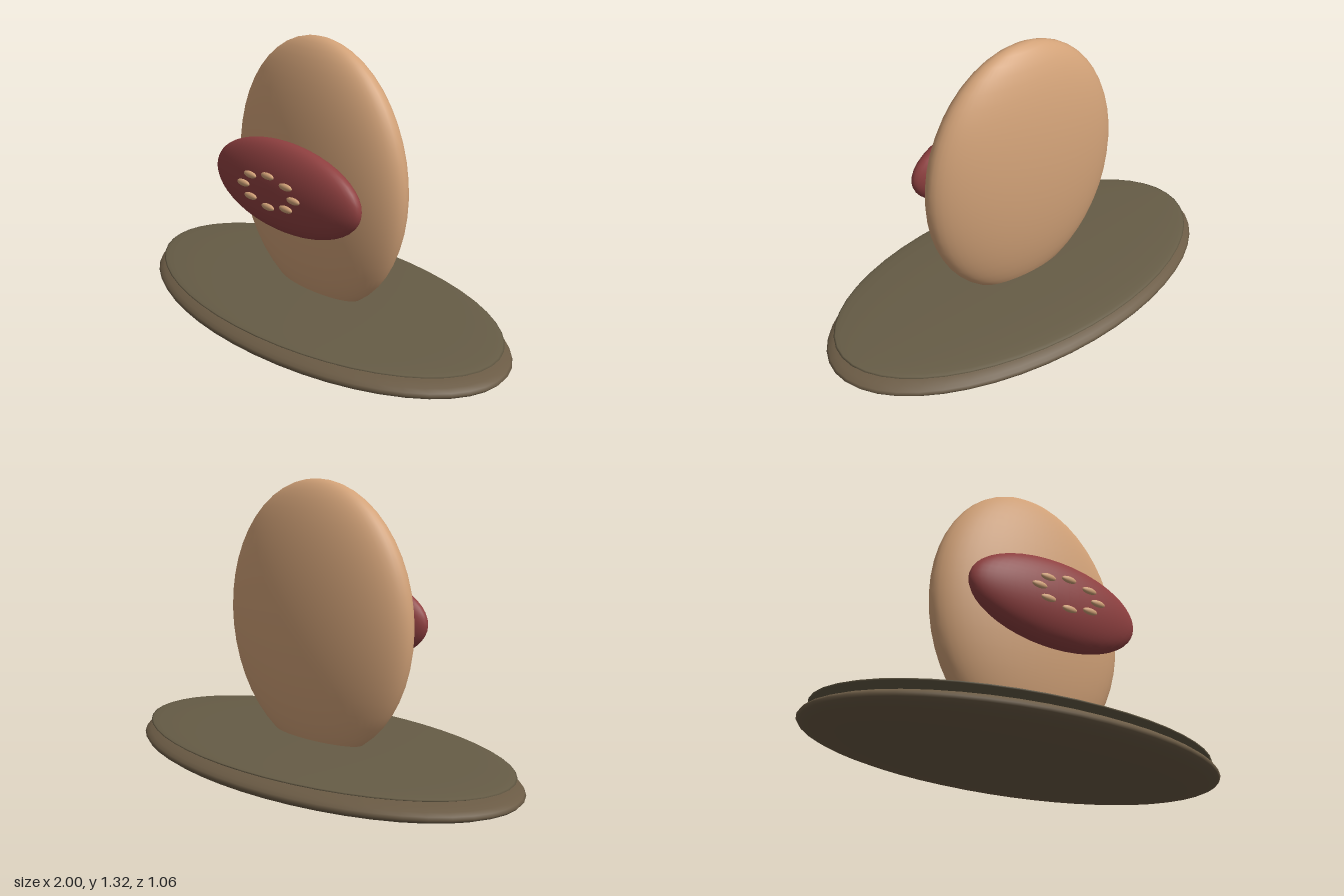
import * as THREE from 'three';

const TAN = 0xd2a278, RED = 0x8f4040, BROWN = 0x6b5b45, OLIVE = 0x665c46;

// A smooth ellipsoid with the given centre and radii
function ellipsoid(name, color, [x, y, z], [rx, ry, rz], w = 48, h = 24) {
  const geometry = new THREE.SphereGeometry(1, w, h).scale(rx, ry, rz);
  const mesh = new THREE.Mesh(geometry, new THREE.MeshStandardMaterial({ color }));
  mesh.position.set(x, y, z);
  mesh.name = name;
  return mesh;
}

export function createModel() {
  const model = new THREE.Group();
  model.name = 'ovalOnStand';

  // Stand: thick oval with a thinner oval resting on it
  model.add(ellipsoid('standBase', BROWN, [0, 0.089, 0], [1, 0.087, 0.528]));
  model.add(ellipsoid('standTop', OLIVE, [0, 0.154, 0], [0.96, 0.026, 0.505]));

  // Upright flattened body
  model.add(ellipsoid('body', TAN, [0, 0.713, 0], [0.493, 0.613, 0.16]));

  // Wide bulging front cushion
  model.add(ellipsoid('cushion', RED, [0, 0.707, 0.206], [0.434, 0.203, 0.097]));

  // Ring of small studs on the cushion
  const studs = new THREE.Group();
  studs.name = 'studs';
  for (let i = 0; i < 8; i++) {
    const a = (i / 8) * Math.PI * 2;
    studs.add(ellipsoid('stud', TAN,
      [0.154 * Math.cos(a), 0.714 + 0.069 * Math.sin(a), 0.307],
      [0.038, 0.015, 0.011], 20, 12));
  }
  model.add(studs);

  return model;
}
